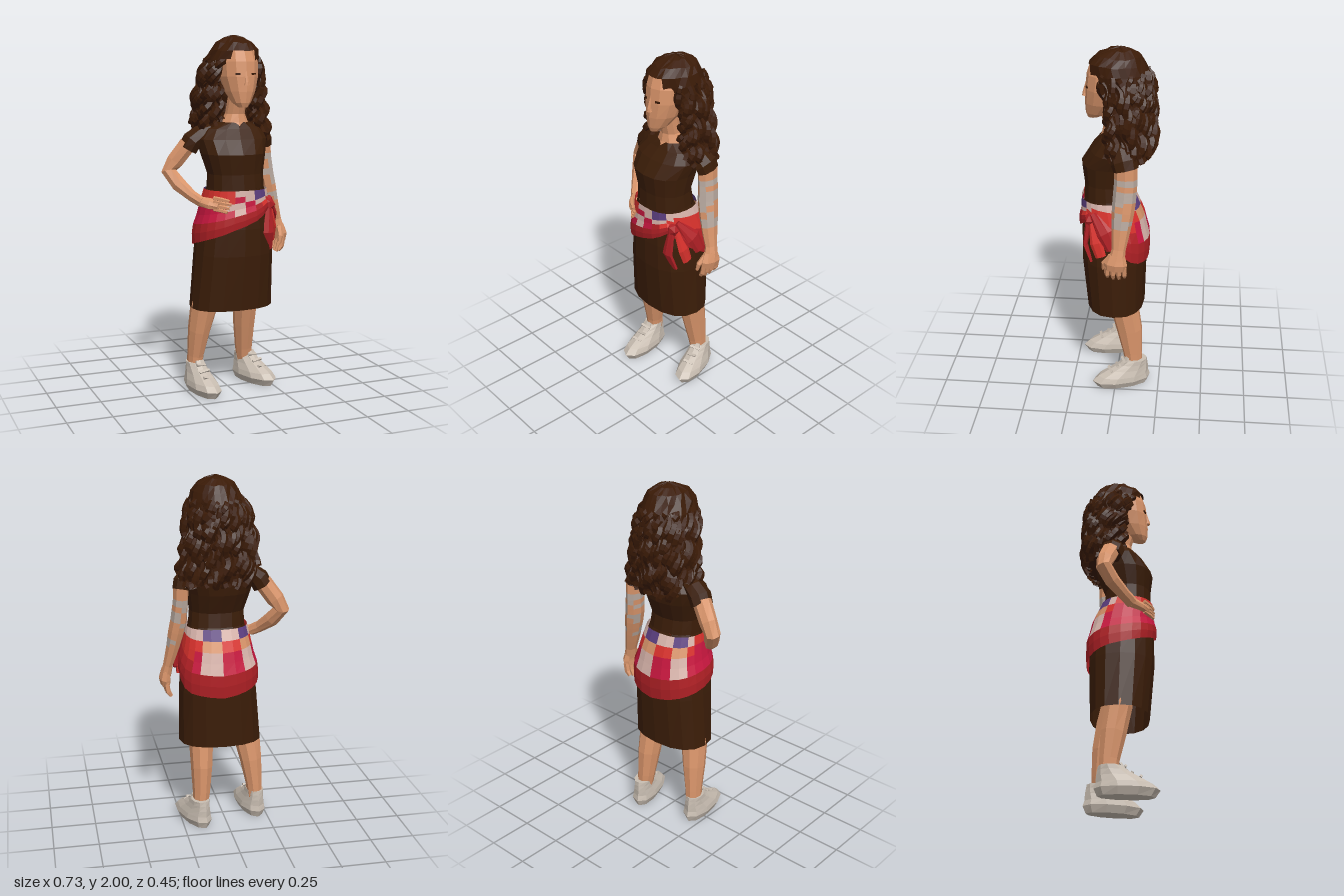
import * as THREE from 'three';

const mat = (name, color) => {
  const m = new THREE.MeshStandardMaterial({ color, side: THREE.DoubleSide });
  m.name = name;
  return m;
};

let seed = 7;
const rnd = () => (seed = (seed * 16807) % 2147483647) / 2147483647;
const lerp = THREE.MathUtils.lerp;

// Interpolates rows of numbers keyed by their first entry
function sample(keys, k) {
  let i = 0;
  while (i < keys.length - 2 && k > keys[i + 1][0]) i++;
  const t = THREE.MathUtils.clamp((k - keys[i][0]) / (keys[i + 1][0] - keys[i][0]), 0, 1);
  return keys[i].map((v, c) => lerp(v, keys[i + 1][c], t));
}

// Faceted skin over rows of points; cell(i, j) gives a material index, or -1 for a hole
function skinRows(rows, { cell = () => 0, caps = false } = {}) {
  const pos = [], geo = new THREE.BufferGeometry(), n = rows[0].length;
  const tri = (...ps) => ps.forEach(p => pos.push(p.x, p.y, p.z));
  for (let j = 0; j < rows.length - 1; j++) for (let i = 0; i < n; i++) {
    const m = cell(i, j), k = (i + 1) % n;
    if (m < 0) continue;
    geo.addGroup(pos.length / 3, 6, m);
    tri(rows[j][i], rows[j][k], rows[j + 1][k]);
    tri(rows[j][i], rows[j + 1][k], rows[j + 1][i]);
  }
  if (caps) [rows[0], rows[rows.length - 1]].forEach((r, top) => {
    const c = r.reduce((s, p) => s.add(p), new THREE.Vector3()).divideScalar(n);
    geo.addGroup(pos.length / 3, n * 3, 0);
    r.forEach((p, i) => top ? tri(c, p, r[(i + 1) % n]) : tri(c, r[(i + 1) % n], p));
  });
  geo.setAttribute('position', new THREE.Float32BufferAttribute(pos, 3));
  geo.computeVertexNormals();
  return geo;
}

// One ring; angle 0 faces front and grows toward +x
function ring(n, rx, rz, power = 1, jitter = 0) {
  return Array.from({ length: n }, (_, i) => {
    const a = i / n * Math.PI * 2, s = Math.sin(a), c = Math.cos(a), k = 1 + (rnd() - 0.5) * jitter;
    return new THREE.Vector3(rx * k * Math.sign(s) * Math.abs(s) ** power, (rnd() - 0.5) * jitter * 0.1,
      rz * k * Math.sign(c) * Math.abs(c) ** power);
  });
}

// Level rings [y, cx, cz, rx, rz]
const stack = (keys, n, power = 1, jitter = 0) => keys.map(([y, cx, cz, rx, rz]) =>
  ring(n, rx, rz, power, jitter).map(p => p.add(new THREE.Vector3(cx, y, cz))));

// Rings [x, y, z, rx, rz] square to a path that runs upward
function limbRows(path, n) {
  const pts = path.map(p => new THREE.Vector3(p[0], p[1], p[2]));
  return path.map((p, i) => {
    const d = pts[Math.min(i + 1, pts.length - 1)].clone().sub(pts[Math.max(i - 1, 0)]).normalize();
    const q = new THREE.Quaternion().setFromUnitVectors(new THREE.Vector3(0, 1, 0), d);
    return ring(n, p[3], p[4] ?? p[3]).map(v => v.applyQuaternion(q).add(pts[i]));
  });
}

export function createModel() {
  const model = new THREE.Group();
  const dress = mat('dress brown', 0x3b1d08), hairMat = mat('hair brown', 0x3b1b07);
  const skin = mat('skin', 0xd8946a), shoe = mat('shoe beige', 0xc8bdb1), paint = mat('arm paint', 0xb9aaa0);
  const darkRed = mat('dark red', 0xb02025), crimson = mat('crimson', 0xc8173f), red = mat('red', 0xd8312c);
  const pale = mat('pale pink', 0xd9b5ac), purple = mat('purple', 0x5c3f80);

  const add = (name, geo, material, parent = model) => {
    const m = new THREE.Mesh(geo, material);
    m.name = name;
    parent.add(m);
    return m;
  };
  const limb = (name, path, material, n = 8, parent = model) =>
    add(name, skinRows(limbRows(path, n), { caps: true }), [material], parent);

  // Dress: skirt, waist and bodice in one profile
  const body = [[0.49, 0.015, 0.008, 0.237, 0.163], [0.8, 0.026, 0.018, 0.222, 0.182], [0.95, 0.028, 0.02, 0.207, 0.18],
    [1.05, 0.027, 0.028, 0.185, 0.165], [1.17, 0.027, 0.05, 0.16, 0.135], [1.25, 0.024, 0.055, 0.156, 0.128],
    [1.36, 0.016, 0.04, 0.18, 0.158], [1.44, 0.02, 0.008, 0.2, 0.14], [1.495, 0.03, -0.002, 0.165, 0.105], [1.53, 0.035, 0, 0.085, 0.08]];
  add('skirt', skinRows(stack(body.slice(0, 5), 16, 0.85)), [dress]);
  add('bodice', skinRows(stack(body.slice(4), 16, 0.9)), [dress]);
  limb('rightSleeve', [[-0.222, 1.385, -0.035, 0.056, 0.064], [-0.198, 1.43, -0.025, 0.058, 0.068],
    [-0.155, 1.465, -0.02, 0.05, 0.062], [-0.09, 1.495, -0.01, 0.036, 0.05]], dress);
  limb('leftSleeve', [[0.243, 1.395, -0.062, 0.046, 0.068], [0.235, 1.435, -0.052, 0.049, 0.072],
    [0.2, 1.475, -0.035, 0.046, 0.06], [0.14, 1.5, -0.015, 0.034, 0.05]], dress);

  // Patterned sash with a slanting hem
  const hem = [[-Math.PI, 0.79], [-1.6, 0.86], [-0.6, 0.92], [0.1, 0.98], [0.8, 1.05], [1.5, 0.93], [2.2, 0.82], [Math.PI, 0.79]];
  const cuts = [0, 0.18, 0.35, 0.52, 0.68, 0.84, 1], sides = 24;
  const angle = i => { const a = i / sides * Math.PI * 2; return a > Math.PI ? a - Math.PI * 2 : a; };
  const sashRows = cuts.map((t, j) => Array.from({ length: sides }, (_, i) => {
    const a = angle(i), y = lerp(sample(hem, a)[1], 1.165, t), [, cx, cz, rx, rz] = sample(body, y);
    const s = Math.sin(a), c = Math.cos(a), o = j === 1 || j === 2 ? 0.02 : 0.013;
    return new THREE.Vector3(cx + (rx + o) * Math.sign(s) * Math.abs(s) ** 0.85, y, cz + (rz + o) * Math.sign(c) * Math.abs(c) ** 0.85);
  }));
  const cloth = [darkRed, crimson, red, pale, purple, skin];
  const backChecks = [[0, 0], [0, 0], [1, 3], [1, 3], [2, 5], [3, 4]];
  // Front squares from the right hip to the knot, hem row first
  const frontChecks = ['00000000', '00000000', '11131022', '11331332', '11213443', '22233443'];
  const sashCell = (i, j) => {
    const a = angle(i + 0.5), pair = Math.floor(i / 2) % 2;
    if (Math.abs(a) < 1.04) return +frontChecks[j][(i + 4) % sides];
    if (a > 0 && a < 2.3) return j === 5 ? 3 : j > 2 ? 2 : 0;
    if (a > -1.9 && a < 0) return j < 2 ? 0 : j < 5 ? 1 : 2;
    return backChecks[j][pair];
  };
  add('sash', skinRows(sashRows, { cell: sashCell }), cloth);

  // Knot and hanging ends
  const knot = add('sashKnot', new THREE.IcosahedronGeometry(0.042, 0), darkRed);
  knot.scale.set(1, 0.9, 0.7);
  knot.position.set(0.19, 1.075, 0.14);
  [[[0.19, 0.82, 0.13, 0.03, 0.012], [0.175, 0.92, 0.165, 0.038, 0.016], [0.19, 1.08, 0.145, 0.016]],
    [[0.24, 0.87, 0.075, 0.012, 0.03], [0.235, 0.95, 0.1, 0.016, 0.035], [0.2, 1.08, 0.13, 0.014]],
    [[0.268, 0.93, 0.01, 0.012, 0.032], [0.258, 1.02, 0.05, 0.016, 0.045], [0.2, 1.11, 0.12, 0.018]]]
    .forEach((p, i) => limb('sashEnd' + (i + 1), p, i === 1 ? red : darkRed, 6));

  // Head, neck and face
  add('neck', skinRows(stack([[1.46, 0.035, 0.03, 0.085, 0.085], [1.53, 0.035, 0.012, 0.078, 0.072],
    [1.575, 0.037, 0.02, 0.055, 0.055], [1.67, 0.042, 0.045, 0.052, 0.055]], 10)), [skin]);
  add('head', skinRows(stack([[1.615, 0.04, 0.13, 0.025, 0.03], [1.64, 0.04, 0.105, 0.05, 0.065], [1.7, 0.044, 0.072, 0.082, 0.102],
    [1.78, 0.045, 0.055, 0.105, 0.116], [1.86, 0.045, 0.045, 0.107, 0.117], [1.92, 0.042, 0.03, 0.095, 0.112],
    [1.96, 0.04, 0.01, 0.06, 0.07]], 12), { caps: true }), [skin]);
  limb('nose', [[0.045, 1.735, 0.174, 0.017, 0.014], [0.045, 1.75, 0.174, 0.012, 0.012], [0.045, 1.81, 0.162, 0.006]], skin, 6);
  for (const s of [-1, 1]) {
    const eye = add(s < 0 ? 'rightEye' : 'leftEye', new THREE.BoxGeometry(0.026, 0.01, 0.008), hairMat);
    eye.position.set(0.045 + s * 0.046, 1.795, 0.157);
    eye.rotation.y = s * 0.42;
  }

  // Hair: lumpy shell with an opening for the face, then rows of curls
  const hair = new THREE.Group();
  hair.name = 'hair';
  model.add(hair);
  const shell = [[1.43, 0.045, -0.12, 0.17, 0.06], [1.5, 0.035, -0.1, 0.185, 0.095], [1.6, 0.025, -0.08, 0.185, 0.115],
    [1.7, 0.028, -0.055, 0.175, 0.135], [1.8, 0.032, -0.035, 0.162, 0.15], [1.87, 0.037, -0.012, 0.148, 0.16],
    [1.92, 0.04, 0.005, 0.13, 0.147], [1.96, 0.042, -0.005, 0.1, 0.118], [1.988, 0.042, -0.01, 0.055, 0.065], [2, 0.042, -0.01, 0.012, 0.012]];
  const hairSides = 26;
  add('hairShell', skinRows(stack(shell, hairSides, 1, 0.1), {
    caps: true,
    cell: (i, j) => {
      const t = (i + 0.5) / hairSides, a = Math.abs(t - Math.round(t)) * Math.PI * 2;
      return a < [1.6, 1.5, 1.1, 0.8, 0.75, 0.55, 0, 0, 0][j] ? -1 : 0;
    },
  }), [hairMat], hair);
  // A curl winds round the line given by at(0..1)
  const curl = at => {
    const pts = [], phase = rnd() * 6, pitch = 1 + rnd() * 0.5;
    for (let k = 0; k <= 14; k++) {
      const [x, y, z] = at(k / 14), w = phase + k * pitch;
      pts.push(new THREE.Vector3(x + 0.013 * Math.cos(w), y, z + 0.013 * Math.sin(w)));
    }
    const g = new THREE.TubeGeometry(new THREE.CatmullRomCurve3(pts), 22, 0.016 + rnd() * 0.008, 5).toNonIndexed();
    g.computeVertexNormals();
    add('curl', g, hairMat, hair);
  };
  const shellCurl = (a, top, bottom, out) => curl(t => {
    const y = lerp(top, bottom, t), [, cx, cz, rx, rz] = sample(shell, y);
    const o = out - 0.016 * Math.max(0, 1 - t * 3.5);
    return [cx + (rx + o) * Math.sin(a), y, cz + (rz + o) * Math.cos(a)];
  });
  for (let i = 0; i < 30; i++) {
    const a = lerp(0.85, Math.PI * 2 - 0.85, i / 29);
    const nearFace = a > 4.6 || a < 1.7;
    shellCurl(a, 1.83 + rnd() * 0.06, (a > 4.4 ? 1.49 : 1.41) + rnd() * 0.06, nearFace ? 0.012 : 0);
    if (i % 2) shellCurl(a, 1.88, 1.6 + rnd() * 0.1, -0.002);
  }
  // Locks falling in front of the shoulders: top x, bottom x, bottom y, bottom z
  [[0.15, 0.135, 1.52, 0.035], [0.165, 0.18, 1.46, 0.045], [0.185, 0.225, 1.43, 0.025], [0.19, 0.25, 1.45, -0.01],
    [-0.06, -0.055, 1.54, 0.03], [-0.085, -0.1, 1.5, 0.035], [-0.11, -0.15, 1.5, 0.02]]
    .forEach(([x0, x1, y1, z1]) => curl(t => [lerp(x0, x1, t), lerp(1.74, y1, t), lerp(0.035, z1, t)]));

  // Left arm hanging, with painted bands
  const armKeys = [[0.9, 0.328, -0.02, 0.032, 0.045], [0.96, 0.315, -0.03, 0.028, 0.038], [1.05, 0.291, -0.038, 0.036, 0.05],
    [1.15, 0.27, -0.048, 0.045, 0.06], [1.22, 0.256, -0.054, 0.046, 0.063], [1.33, 0.245, -0.062, 0.042, 0.062], [1.42, 0.24, -0.06, 0.042, 0.063]];
  const armPath = [0.9, 0.96, 1.02, 1.07, 1.095, 1.12, 1.16, 1.195, 1.22, 1.255, 1.28, 1.31, 1.345, 1.42].map(y => {
    const [, x, z, rx, rz] = sample(armKeys, y);
    return [x, y, z, rx, rz];
  });
  const painted = { 3: [0, 1, 2, 5, 6], 4: [0, 1, 2, 3, 6, 7], 5: [1], 6: [0, 5], 7: [0, 1, 4, 5], 8: [0, 1, 2, 3, 7], 9: [0, 1, 2, 3, 5, 6], 10: [0, 4], 11: [0, 1, 2, 3, 4, 5, 6, 7] };
  add('leftArm', skinRows(limbRows(armPath, 8), { caps: true, cell: (i, j) => painted[j]?.includes(i) ? 1 : 0 }), [skin, paint]);
  limb('leftPalm', [[0.328, 0.845, -0.012, 0.028, 0.058], [0.333, 0.88, -0.014, 0.032, 0.064], [0.325, 0.93, -0.02, 0.026, 0.046]], skin);
  for (let i = 0; i < 4; i++) {
    const z = 0.032 - i * 0.031;
    limb('leftFinger', [[0.302, 0.77 + Math.abs(i - 1.5) * 0.01, z, 0.01], [0.32, 0.81, z, 0.016], [0.329, 0.86, z, 0.016]], skin, 5);
  }
  limb('leftThumb', [[0.298, 0.83, 0.055, 0.01], [0.308, 0.87, 0.052, 0.015], [0.32, 0.92, 0.01, 0.016]], skin, 5);

  // Right arm bent, hand on hip
  limb('rightArm', [[-0.185, 1.1, 0.085, 0.028, 0.034], [-0.225, 1.13, 0.045, 0.031, 0.034], [-0.28, 1.19, -0.02, 0.043, 0.042],
    [-0.322, 1.26, -0.066, 0.044, 0.044], [-0.288, 1.315, -0.06, 0.05, 0.048], [-0.22, 1.41, -0.035, 0.05, 0.054]], skin);
  limb('rightPalm', [[-0.115, 1.085, 0.165, 0.024, 0.02], [-0.15, 1.095, 0.13, 0.036, 0.024], [-0.19, 1.103, 0.08, 0.028, 0.028]], skin);
  for (let i = 0; i < 4; i++) {
    const y = 1.06 + i * 0.02;
    limb('rightFinger', [[-0.055 - Math.abs(i - 2) * 0.012, y - 0.008, 0.2, 0.009], [-0.1, y, 0.182, 0.012], [-0.14, y + 0.008, 0.15, 0.012]], skin, 5);
  }

  // Legs, ending inside the skirt
  limb('rightLeg', [[-0.185, 0.12, -0.045, 0.043, 0.05], [-0.18, 0.2, -0.04, 0.047, 0.054], [-0.165, 0.35, -0.02, 0.064, 0.07],
    [-0.143, 0.5, 0.005, 0.08, 0.075], [-0.1, 0.7, 0.02, 0.08, 0.08]], skin, 9);
  limb('leftLeg', [[0.148, 0.12, -0.105, 0.043, 0.05], [0.142, 0.2, -0.098, 0.05, 0.057], [0.136, 0.35, -0.078, 0.062, 0.075],
    [0.133, 0.49, -0.05, 0.07, 0.082], [0.11, 0.7, 0, 0.08, 0.08]], skin, 9);

  // Shoes with tongue and laces
  for (const [name, x, z, turn] of [['rightShoe', -0.172, 0.052, 0.15], ['leftShoe', 0.182, -0.035, 0.33]]) {
    const g = new THREE.Group();
    g.name = name;
    g.position.set(x, 0, z);
    g.rotation.y = turn;
    model.add(g);
    add('shoeBody', skinRows(stack([[0.005, 0, -0.005, 0.056, 0.15], [0.045, 0, 0, 0.075, 0.172], [0.075, 0, -0.012, 0.07, 0.15],
      [0.11, 0, -0.045, 0.058, 0.115], [0.14, 0, -0.072, 0.052, 0.083], [0.165, 0, -0.088, 0.05, 0.062]], 10, 0.95), { caps: true }), [shoe], g);
    limb('tongue', [[0, 0.115, 0.02, 0.03, 0.012], [0, 0.15, -0.018, 0.034, 0.012], [0, 0.18, -0.036, 0.026, 0.01]], shoe, 6, g);
    for (let i = 0; i < 3; i++) {
      const lace = add('lace', new THREE.BoxGeometry(0.06, 0.012, 0.014), shoe, g);
      lace.position.set(0, 0.107 + i * 0.026, 0.066 - i * 0.04);
      lace.rotation.set(0.6, 0, i % 2 ? 0.2 : -0.2);
    }
  }
  return model;
}
